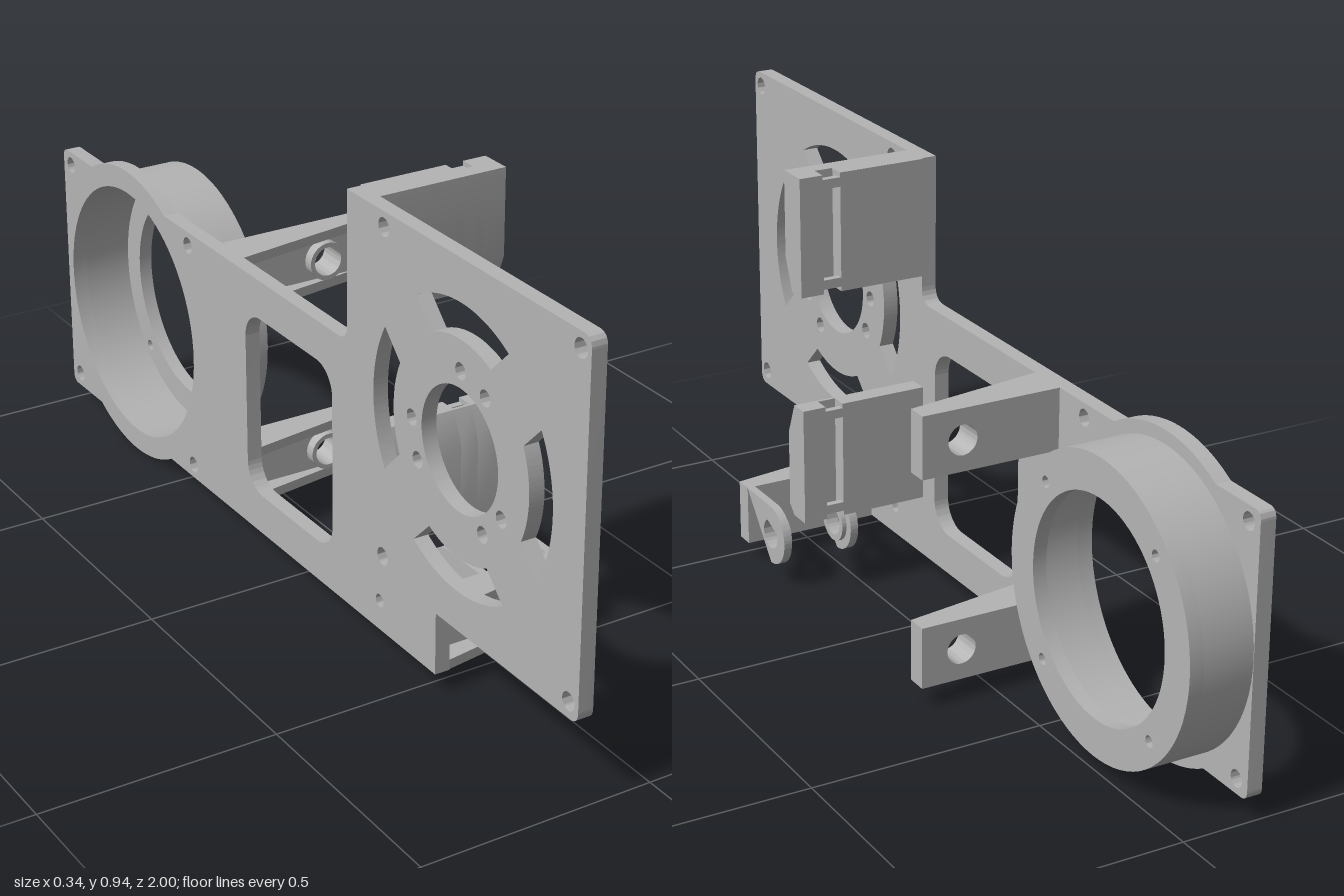
import * as THREE from 'three';
import { toCreasedNormals } from 'three/addons/utils/BufferGeometryUtils.js';

const grey = new THREE.MeshStandardMaterial({ color: 0xb4b4b4 });
grey.name = 'grey plastic';

const polygon = (pts) => new THREE.Shape(pts.map(([a, b]) => new THREE.Vector2(a, b)));
const circle = (a, b, r) => new THREE.Shape().absarc(a, b, r, 0, Math.PI * 2, false);
const rect = (a0, a1, b0, b1) => polygon([[a0, b0], [a1, b0], [a1, b1], [a0, b1]]);

function withHoles(shape, ...holes) {
  shape.holes.push(...holes);
  return shape;
}

function extrude(shape, depth) {
  const g = new THREE.ExtrudeGeometry(shape, { depth, bevelEnabled: false, curveSegments: 40 });
  return toCreasedNormals(g, 0.5);
}

// Shape in (-z, y), swept along x
const alongX = (shape, x0, x1) => extrude(shape, x1 - x0).rotateY(Math.PI / 2).translate(x0, 0, 0);
// Shape in (x, z), swept along y
const alongY = (shape, y0, y1) => extrude(shape, y1 - y0).rotateX(Math.PI / 2).translate(0, y1, 0);
// Shape in (x, y), swept along z
const alongZ = (shape, z0, z1) => extrude(shape, z1 - z0).translate(0, 0, z0);

const BACK = -0.17, FACE = -0.137;          // the two faces of the base plate
const RING = { u: 0.692, y: 0.335 };        // large fan collar centre
const MOTOR = { u: -0.61, y: 0.559 };       // vent and motor hole centre

function plateShape() {
  const s = new THREE.Shape();
  const a = Math.atan2(0.29, 0.168), r = 0.335;
  s.moveTo(-0.975, 0.18);
  s.lineTo(-0.54, 0.18);
  s.lineTo(-0.54, 0.045);
  s.absarc(RING.u, RING.y, r, -Math.PI + a, -a, false);
  s.lineTo(0.98, 0.045);
  s.quadraticCurveTo(1, 0.045, 1, 0.065);
  s.lineTo(1, 0.605);
  s.quadraticCurveTo(1, 0.625, 0.98, 0.625);
  s.absarc(RING.u, RING.y, r, a, Math.PI - a, false);
  s.lineTo(-0.185, 0.625);
  s.quadraticCurveTo(-0.22, 0.625, -0.22, 0.66);
  s.lineTo(-0.22, 0.94);
  s.lineTo(-0.975, 0.94);
  s.quadraticCurveTo(-1, 0.94, -1, 0.915);
  s.lineTo(-1, 0.205);
  s.quadraticCurveTo(-1, 0.18, -0.975, 0.18);

  // Fan bore, motor hole and hinge screw hole
  s.holes.push(circle(RING.u, RING.y, 0.285), circle(MOTOR.u, MOTOR.y, 0.126), circle(-0.34, 0.11, 0.014));
  // Corner screw holes
  for (const u of [-0.97, -0.35]) for (const y of [0.214, 0.908]) s.holes.push(circle(u, y, 0.019));
  for (const u of [0.42, 0.965]) for (const y of [0.076, 0.594]) s.holes.push(circle(u, y, 0.018));
  // Small holes around the motor
  for (const deg of [0, 90, 120, 210, 240, 330]) {
    const t = THREE.MathUtils.degToRad(deg);
    s.holes.push(circle(MOTOR.u + 0.16 * Math.cos(t), MOTOR.y + 0.16 * Math.sin(t), 0.017));
  }
  // Four curved vents
  const outer = THREE.MathUtils.degToRad(30.5), inner = THREE.MathUtils.degToRad(25.5);
  for (let i = 0; i < 4; i++) {
    const c = i * Math.PI / 2;
    const vent = new THREE.Path();
    vent.absarc(MOTOR.u, MOTOR.y, 0.295, c - outer, c + outer, false);
    vent.absarc(MOTOR.u, MOTOR.y, 0.223, c + inner, c - inner, true);
    vent.closePath();
    s.holes.push(vent);
  }
  // Rounded window
  const w = new THREE.Path(), u0 = -0.163, u1 = 0.179, y0 = 0.134, y1 = 0.54, q = 0.06;
  w.moveTo(u0 + q, y0);
  w.absarc(u1 - q, y0 + q, q, -Math.PI / 2, 0, false);
  w.absarc(u1 - q, y1 - q, q, 0, Math.PI / 2, false);
  w.absarc(u0 + q, y1 - q, q, Math.PI / 2, Math.PI, false);
  w.absarc(u0 + q, y0 + q, q, Math.PI, Math.PI * 1.5, false);
  s.holes.push(w);
  return s;
}

export function createModel() {
  const model = new THREE.Group();
  model.name = 'fanMountBracket';
  const part = (name) => {
    const g = new THREE.Group();
    g.name = name;
    model.add(g);
    return (meshName, geometry) => {
      const m = new THREE.Mesh(geometry, grey);
      m.name = meshName;
      g.add(m);
    };
  };

  part('basePlate')('plate', alongX(plateShape(), BACK, FACE));

  // Fan collar with an inward flange
  const collar = part('fanCollar');
  const ringShape = (inner) => withHoles(circle(RING.u, RING.y, 0.307), circle(RING.u, RING.y, inner));
  collar('collarWall', alongX(ringShape(0.285), FACE, -0.03));
  const flange = ringShape(0.227);
  for (const i of [-1, 1]) for (const j of [-1, 1])
    flange.holes.push(circle(RING.u + i * 0.187, RING.y + j * 0.187, 0.012));
  collar('collarFlange', alongX(flange, -0.03, 0));

  // Tapered side ribs of an arm
  const ribs = (add, y0, y1, zFloor, zRoot) => {
    const profile = () => polygon([[FACE, zFloor], [0.168, zFloor], [FACE, zRoot]]);
    add('lowerRib', alongY(profile(), y0, y0 + 0.021));
    add('upperRib', alongY(profile(), y1 - 0.021, y1));
  };

  // Two pivot arms with bossed holes
  for (const [name, y0] of [['lowerPivotArm', 0.045], ['upperPivotArm', 0.493]]) {
    const add = part(name), y1 = y0 + 0.132, yc = y0 + 0.066;
    add('armWall', alongZ(withHoles(rect(FACE, 0.168, y0, y1), circle(0.079, yc, 0.032)), -0.33, -0.285));
    ribs(add, y0, y1, -0.285, -0.238);
    add('boss', alongZ(withHoles(circle(0.079, yc, 0.042), circle(0.079, yc, 0.032)), -0.285, -0.262));
  }

  // Hinge arm with a pair of rounded lugs
  const hinge = part('hingeArm'), yc = 0.11;
  hinge('armWall', alongZ(rect(FACE, 0.168, 0.044, 0.176), 0.45, 0.49));
  ribs(hinge, 0.044, 0.176, 0.49, 0.537);
  for (const [x0, x1, b0, b1] of [[-0.01, 0.008, 0.008, 0.018], [0.15, 0.168, 0.14, 0.15]]) {
    const lug = new THREE.Shape();
    lug.moveTo(-0.45, yc - 0.066);
    lug.absarc(-0.34, yc, 0.066, -Math.PI / 2, Math.PI / 2, false);
    lug.lineTo(-0.45, yc + 0.066);
    hinge('lug', alongX(withHoles(lug, circle(-0.34, yc, 0.032)), x0, x1));
    hinge('lugBoss', alongX(withHoles(circle(-0.34, yc, 0.046), circle(-0.34, yc, 0.032)), b0, b1));
  }

  // Two clamp walls, each with a vertical slot in the back
  const clamp = (name, section, y0, y1) => {
    const add = part(name);
    const slice = (zBack, x0, x1) =>
      add('clampWall', alongX(polygon(section(zBack).map(([z, y]) => [-z, y])), x0, x1));
    slice(0.215, FACE, 0.055);
    slice(0.25, 0.055, 0.095);
    slice(0.215, 0.095, 0.147);
    for (const y of [y0 + 0.01, y1 - 0.03]) add('slotBridge', alongZ(rect(0.055, 0.095, y, y + 0.02), 0.215, 0.23));
  };
  clamp('upperClamp', (b) => [[0.285, 0.94], [0.285, 0.755], [0.257, 0.685], [b, 0.685], [b, 0.94]], 0.685, 0.94);
  clamp('lowerClamp', (b) => [[0.285, 0.365], [0.285, 0.2], [0.265, 0.18], [b, 0.18], [b, 0.435], [0.257, 0.435]], 0.18, 0.435);

  return model;
}
